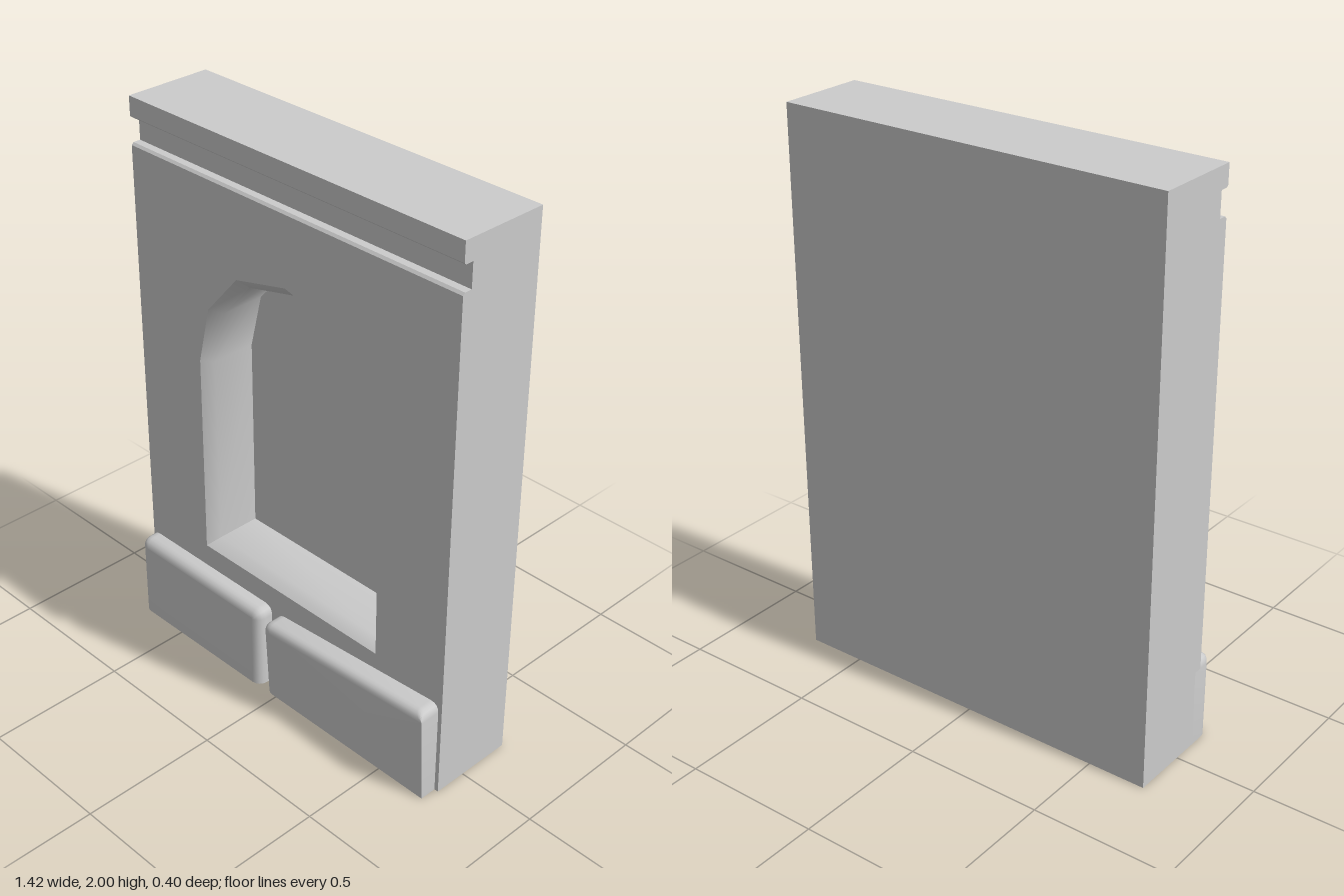
import * as THREE from 'three';
import { toCreasedNormals } from 'three/addons/utils/BufferGeometryUtils.js';

const W = 0.71, BACK = -0.2, FRONT = 0.12, NICHE = -0.085, SPLIT = 1.72;
const material = new THREE.MeshStandardMaterial({ color: 0xcccccc });

function add(group, name, geometry) {
  const mesh = new THREE.Mesh(geometry, material);
  mesh.name = name;
  group.add(mesh);
  return mesh;
}

// Mirrors the right half of an arch (bottom corner to crown) into a closed loop
function archLoop(half) {
  const left = half.slice(0, -1).reverse().map(([x, y]) => [-x, y]);
  return [...half, ...left].map(([x, y]) => new THREE.Vector2(x, y));
}

const toShape = (points) => new THREE.Shape(points.map(([x, y]) => new THREE.Vector2(x, y)));

// Inward-facing strip joining equal-length loops, each at its own z
function liningGeometry(rings) {
  const pos = [];
  for (let r = 0; r < rings.length - 1; r++) {
    const [a, b] = [rings[r], rings[r + 1]];
    const n = a.loop.length;
    for (let i = 0; i < n; i++) {
      const j = (i + 1) % n;
      const put = (ring, k) => pos.push(ring.loop[k].x, ring.loop[k].y, ring.z);
      put(a, i); put(a, j); put(b, i);
      put(a, j); put(b, j); put(b, i);
    }
  }
  const g = new THREE.BufferGeometry();
  g.setAttribute('position', new THREE.Float32BufferAttribute(pos, 3));
  return toCreasedNormals(g, 0.85);
}

// Rounded block cut flat at the ground; lean tilts its face, squareEnd keeps its +x end unrounded
function stoneGeometry({ x0, x1, y0, y1, front, lean = 0, squareEnd = false, bevel = 0.03 }) {
  const r = 0.035, slope = (y1 - y0) / (x1 - x0), depth = 0.06;
  const s = new THREE.Shape();
  s.moveTo(x0, -0.1);
  s.lineTo(x1, -0.1);
  s.lineTo(x1, y1 - r);
  s.quadraticCurveTo(x1, y1, x1 - r, y1 - r * slope);
  s.lineTo(x0 + r, y0 + r * slope);
  s.quadraticCurveTo(x0, y0, x0, y0 - r);
  const g = new THREE.ExtrudeGeometry(s, {
    depth, curveSegments: 4, bevelThickness: bevel, bevelSize: bevel, bevelOffset: -bevel, bevelSegments: 4,
  });
  const p = g.attributes.position;
  for (let i = 0; i < p.count; i++) {
    const z = p.getZ(i);
    const past = Math.min(1, Math.max(-z, z - depth, 0) / bevel);
    if (squareEnd && p.getX(i) > x1 - 0.15) {
      p.setX(i, p.getX(i) + bevel * (1 - Math.sqrt(1 - past * past)));
    }
    const y = Math.max(0, p.getY(i));
    p.setY(i, y);
    p.setZ(i, z + front - depth - bevel + (z > depth / 2 ? lean * y : 0));
  }
  return toCreasedNormals(g, 0.7);
}

export function createModel() {
  const model = new THREE.Group();
  model.name = 'nicheWall';

  // Niche outlines: rim on the wall face and the smaller recess behind it
  const rim = archLoop([[0.415, 0.405], [0.412, 1.16], [0.362, 1.37], [0.222, 1.53], [0, 1.585]]);
  const recess = archLoop([[0.385, 0.435], [0.385, 1.15], [0.335, 1.35], [0.205, 1.495], [0, 1.545]]);

  // Slab behind the niche
  const slab = new THREE.BoxGeometry(2 * W, SPLIT, NICHE - BACK);
  slab.translate(0, SPLIT / 2, (NICHE + BACK) / 2);
  add(model, 'backSlab', slab);

  // Front panel with the arched opening
  const panel = toShape([[-W, 0], [W, 0], [W, SPLIT], [-W, SPLIT]]);
  panel.holes.push(new THREE.Path(rim.slice().reverse()));
  const panelGeo = new THREE.ExtrudeGeometry(panel, { depth: FRONT - NICHE, bevelEnabled: false });
  panelGeo.translate(0, 0, NICHE);
  add(model, 'frontPanel', panelGeo);

  // Softened edge and reveal of the niche
  add(model, 'nicheLining', liningGeometry([
    { loop: rim, z: FRONT },
    { loop: recess, z: FRONT - 0.04 },
    { loop: recess, z: NICHE },
  ]));

  // Top of the wall with a horizontal groove, as a (z, y) profile swept along x
  const profile = toShape([
    [BACK, SPLIT], [FRONT, SPLIT], [FRONT, 1.832], [0.112, 1.84], [0.085, 1.84],
    [0.085, 1.926], [0.114, 1.926], [FRONT, 1.932], [FRONT, 2], [BACK, 2],
  ]);
  const topGeo = new THREE.ExtrudeGeometry(profile, { depth: 2 * W, bevelEnabled: false });
  topGeo.rotateY(-Math.PI / 2);
  topGeo.translate(W, 0, 0);
  add(model, 'groovedTop', topGeo);

  // Base stones
  add(model, 'rightBaseStone', stoneGeometry({
    x0: -W, x1: -0.08, y0: 0.32, y1: 0.32, front: 0.185, bevel: 0.035,
  }));
  add(model, 'leftBaseStone', stoneGeometry({
    x0: -0.05, x1: 0.695, y0: 0.308, y1: 0.365, front: 0.182, lean: 0.05, squareEnd: true,
  }));

  return model;
}
